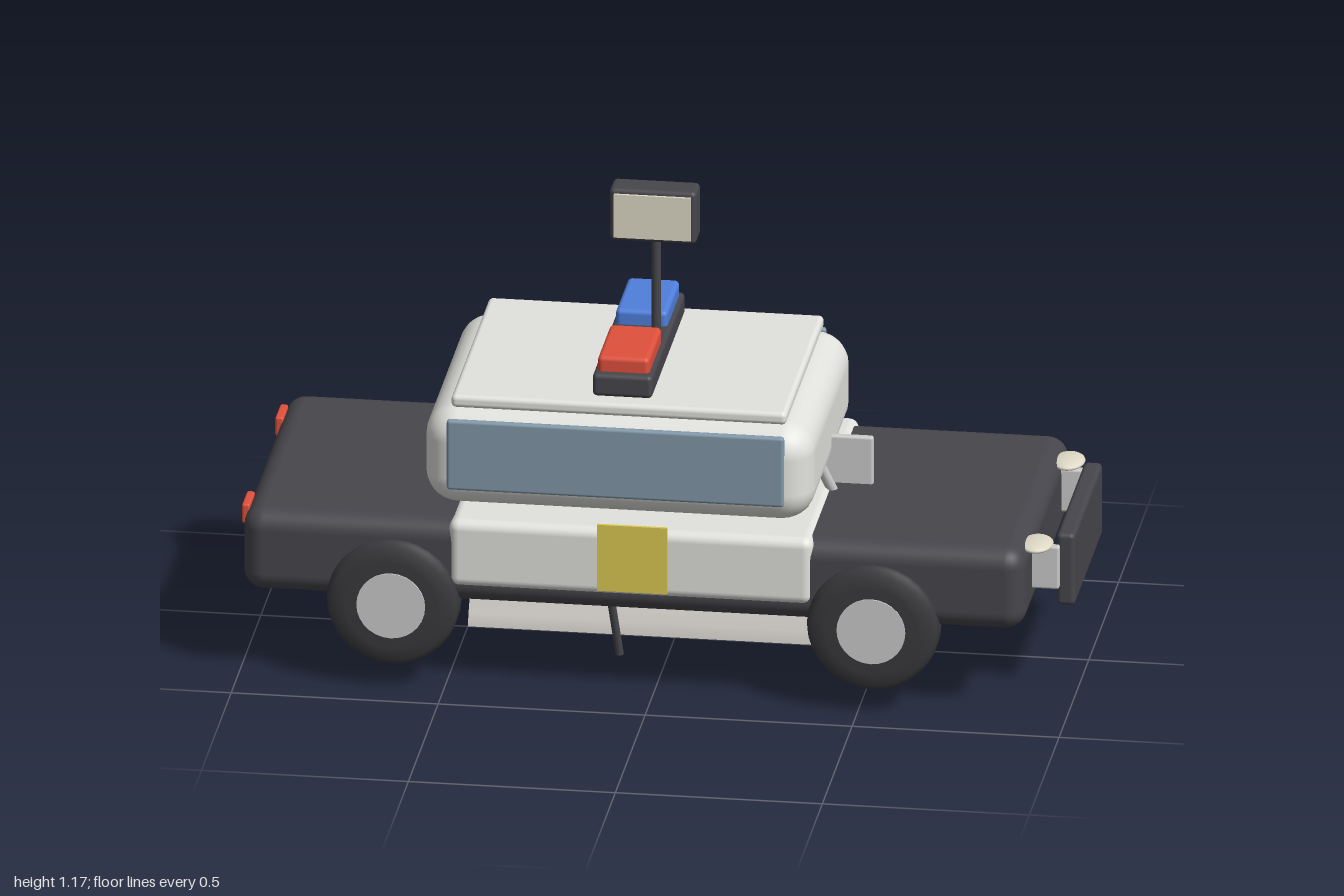
import * as THREE from 'three';
import { RoundedBoxGeometry } from 'three/addons/geometries/RoundedBoxGeometry.js';

const mat = (color, extra = {}) => new THREE.MeshStandardMaterial({ color, ...extra });
const M = {
  dark: mat(0x47464c), tyre: mat(0x3a3a3e), white: mat(0xe2e2de), grey: mat(0xcccccc), steel: mat(0xa9aab0),
  glass: mat(0x8299a9), red: mat(0xe0503c), blue: mat(0x4f80dc), cream: mat(0xdfd9c6),
  yellow: mat(0xdcc952), orange: mat(0xe39545), skirt: mat(0xccc8c2, { side: THREE.DoubleSide }),
};

export function createModel() {
  const car = new THREE.Group();
  car.name = 'patrolCar';

  const add = (name, geometry, material, x = 0, y = 0, z = 0) => {
    const mesh = new THREE.Mesh(geometry, material);
    mesh.name = name;
    mesh.position.set(x, y, z);
    car.add(mesh);
    return mesh;
  };
  // Box given by its limits on each axis; r rounds the edges
  const box = (name, material, [x0, x1], [y0, y1], [z0, z1], r = 0) => {
    const s = [x1 - x0, y1 - y0, z1 - z0];
    const geometry = r ? new RoundedBoxGeometry(...s, 4, r) : new THREE.BoxGeometry(...s);
    return add(name, geometry, material, (x0 + x1) / 2, (y0 + y1) / 2, (z0 + z1) / 2);
  };
  // Round rod between two points
  const rod = (name, material, a, b, r) => {
    const p = new THREE.Vector3(...a), q = new THREE.Vector3(...b);
    const mesh = add(name, new THREE.CylinderGeometry(r, r, p.distanceTo(q), 12), material);
    mesh.position.copy(p).lerp(q, 0.5);
    mesh.quaternion.setFromUnitVectors(new THREE.Vector3(0, 1, 0), q.sub(p).normalize());
  };

  // Body, door section and cabin
  box('body', M.dark, [-0.99, 0.9], [0.22, 0.43], [-0.395, 0.395], 0.05);
  box('doorSection', M.white, [-0.49, 0.39], [0.265, 0.437], [-0.403, 0.403], 0.025);
  box('seatPad', M.orange, [-0.44, 0.35], [0.42, 0.455], [-0.2, 0.2], 0.01);
  box('cabin', M.white, [-0.56, 0.38], [0.445, 0.695], [-0.355, 0.355], 0.08);
  box('roof', M.white, [-0.495, 0.315], [0.695, 0.727], [-0.32, 0.32], 0.012);
  box('doorBadge', M.yellow, [-0.13, 0.04], [0.28, 0.45], [0.4, 0.408]);

  // Wheels: rounded tyre profile with a flat hub
  const tyre = new THREE.LatheGeometry([
    [0, -0.055], [0.11, -0.055], [0.143, -0.05], [0.156, -0.038], [0.16, -0.02],
    [0.16, 0.02], [0.156, 0.038], [0.143, 0.05], [0.11, 0.055], [0, 0.055],
  ].map(([r, y]) => new THREE.Vector2(r, y)), 32).rotateX(Math.PI / 2);
  const hub = new THREE.CylinderGeometry(0.083, 0.083, 0.01, 28).rotateX(Math.PI / 2);
  for (const x of [-0.625, 0.535]) {
    for (const s of [-1, 1]) {
      add('tyre', tyre, M.tyre, x, 0.22, s * 0.37);
      add('hub', hub, M.grey, x, 0.22, s * 0.424);
    }
    box('axle', M.glass, [x - 0.02, x + 0.02], [0.165, 0.21], [-0.315, 0.315], 0.012);
  }

  // Paired parts on both sides
  for (const s of [-1, 1]) {
    const side = (a, b) => (s > 0 ? [a, b] : [-b, -a]);
    box('sideWindow', M.glass, [-0.5, 0.315], [0.5, 0.68], side(0.345, 0.363), 0.008);
    box('tailLight', M.red, [-1, -0.98], [0.37, 0.42], side(0.235, 0.325), 0.006);
    add('headlight', new THREE.SphereGeometry(1, 24, 12), M.cream, 0.913, 0.405, s * 0.267)
      .scale.set(0.04, 0.012, 0.057);
    box('bumperBracket', M.grey, [0.89, 0.965], [0.285, 0.395], side(0.235, 0.258), 0.006);
    rod('cabinStrut', M.grey, [0.39, 0.42, s * 0.045], [0.36, 0.505, s * 0.08], 0.013);
    rod('cabinPost', M.dark, [-0.16, 0.42, s * 0.207], [-0.16, 0.46, s * 0.213], 0.01);
    rod('standLeg', M.dark, [-0.14, 0.23, s * 0.17], [-0.115, 0.006, s * 0.127], 0.01);
  }
  rod('standLeg', M.dark, [0.157, 0.23, 0], [0.1, 0.006, 0], 0.01);
  box('pushBumper', M.dark, [0.955, 1], [0.235, 0.42], [-0.235, 0.235], 0.012);

  // End fins with posts and crossbars below
  for (const [x0, x1, post] of [[0.36, 0.48, 0.48], [-0.57, -0.47, -0.585]]) {
    box('fin', M.grey, [x0, x1], [0.4, 0.55], [-0.01, 0.01], 0.006);
    box('hangerPost', M.steel, [post - 0.01, post + 0.01], [0.07, 0.25], [-0.01, 0.01]);
    box('crossbar', M.steel, [post - 0.028, post + 0.028], [0.062, 0.08], [-0.15, 0.15], 0.006);
  }

  // Flared skirt under the floor, open at the bottom
  const half = [[0.07, 0.222], [0.078, 0.19], [0.095, 0.145], [0.13, 0.09], [0.138, 0.06]];
  const outline = [...half.map(([z, y]) => [-z, y]).reverse(), ...half];
  const wall = new THREE.PlaneGeometry(1, 1, 1, outline.length - 1);
  const p = wall.attributes.position;
  for (let i = 0; i < p.count; i++) {
    const [z, y] = outline[i >> 1];
    p.setXYZ(i, i % 2 ? 0.38 : -0.48, y, z);
  }
  wall.computeVertexNormals();
  add('skirt', wall, M.skirt);
  const end = new THREE.ShapeGeometry(new THREE.Shape(outline.map(([z, y]) => new THREE.Vector2(z, y))));
  end.rotateY(Math.PI / 2);
  for (const x of [-0.48, 0.38]) add('skirtEnd', end, M.skirt, x);
  box('floorHatch', M.tyre, [-0.14, 0.04], [0.208, 0.218], [-0.02, 0.065]);
  box('hatchTrim', M.orange, [-0.1, 0.02], [0.208, 0.218], [-0.06, -0.02]);

  // Roof light bar
  box('lightBarBase', M.dark, [-0.16, -0.015], [0.727, 0.785], [-0.278, 0.278], 0.012);
  box('redLight', M.red, [-0.15, -0.025], [0.775, 0.823], [0.045, 0.258], 0.012);
  box('blueLight', M.blue, [-0.15, -0.025], [0.775, 0.823], [-0.258, -0.045], 0.012);

  // Signal lamp on its pole
  rod('lampPole', M.dark, [-0.045, 0.77, 0], [-0.045, 1.06, 0], 0.011);
  box('lampHousing', M.dark, [-0.15, 0.06], [1.042, 1.177], [-0.015, 0.06], 0.012);
  box('lampFace', M.cream, [-0.138, 0.048], [1.054, 1.165], [0.055, 0.067]);

  return car;
}
